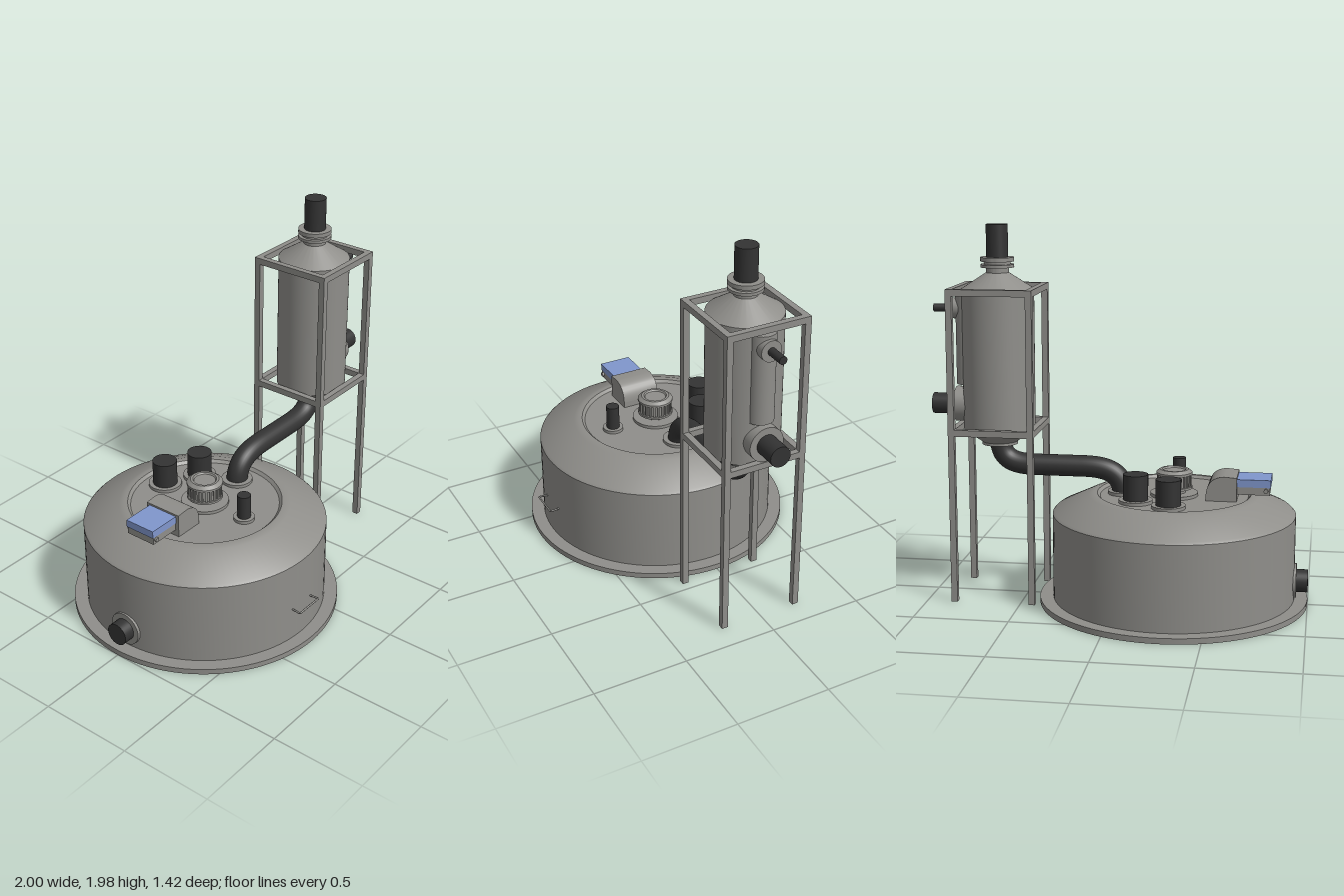
import * as THREE from 'three';
import { toCreasedNormals } from 'three/addons/utils/BufferGeometryUtils.js';

const material = (name, color) => {
  const m = new THREE.MeshStandardMaterial({ color });
  m.name = name;
  return m;
};

export function createModel() {
  const steel = material('grey steel', 0x8f8e8a);
  const rubber = material('dark pipe', 0x333333);
  const blue = material('blue motor', 0x8096cc);
  const model = new THREE.Group();
  const TANK = -0.29, COLUMN = 0.645;

  const add = (parent, name, geometry, mat, x = 0, y = 0, z = 0) => {
    const mesh = new THREE.Mesh(geometry, mat);
    mesh.name = name;
    mesh.position.set(x, y, z);
    parent.add(mesh);
    return mesh;
  };
  const group = (name, x = 0, y = 0, z = 0) => {
    const g = new THREE.Group();
    g.name = name;
    g.position.set(x, y, z);
    model.add(g);
    return g;
  };
  const lathe = (points, segments = 64) => toCreasedNormals(
    new THREE.LatheGeometry(points.map(p => new THREE.Vector2(...p)), segments), 0.6);
  // Upright cylinder between two heights
  const upright = (parent, name, r, y0, y1, mat, x = 0, z = 0) =>
    add(parent, name, new THREE.CylinderGeometry(r, r, y1 - y0, 40), mat, x, (y0 + y1) / 2, z);
  // Cylinder lying along x
  const sideways = (parent, name, r, x0, x1, y, mat) => {
    const mesh = add(parent, name, new THREE.CylinderGeometry(r, r, x1 - x0, 40), mat, (x0 + x1) / 2, y, 0);
    mesh.rotation.z = -Math.PI / 2;
    return mesh;
  };
  const box = (parent, name, x0, x1, y0, y1, z0, z1, mat) =>
    add(parent, name, new THREE.BoxGeometry(x1 - x0, y1 - y0, z1 - z0), mat,
      (x0 + x1) / 2, (y0 + y1) / 2, (z0 + z1) / 2);

  // Tank with base flange, sloping shoulder and recessed lid
  const tank = group('tank', TANK);
  add(tank, 'tankBody', lathe([
    [0, 0], [0.71, 0], [0.71, 0.03], [0.64, 0.03], [0.64, 0.48], [0.628, 0.492],
    [0.45, 0.577], [0.425, 0.585], [0.405, 0.585], [0.39, 0.57], [0, 0.57],
  ], 96), steel);

  // Handle on the front of the tank
  const handlePath = new THREE.CurvePath();
  const hp = [[-0.075, 0.63], [-0.08, 0.685], [0.08, 0.685], [0.075, 0.63]]
    .map(([x, z]) => new THREE.Vector3(x, 0.21, z));
  for (let i = 0; i < 3; i++) handlePath.add(new THREE.LineCurve3(hp[i], hp[i + 1]));
  add(tank, 'handle', new THREE.TubeGeometry(handlePath, 48, 0.005, 8), steel);

  // Outlet low on the tank wall
  const outlet = group('tankOutlet');
  sideways(outlet, 'outletFlange', 0.09, -0.94, -0.9, 0.13, steel);
  sideways(outlet, 'outletPipe', 0.06, -1, -0.9, 0.13, rubber);

  // Pipe stubs standing on the lid
  const stubs = group('lidStubs');
  for (const [x, z, r, flange, top] of [
    [-0.11, -0.185, 0.065, 0.088, 0.72],
    [TANK, -0.275, 0.065, 0.088, 0.72],
    [TANK, 0.26, 0.035, 0.055, 0.715],
  ]) {
    upright(stubs, 'stubFlange', flange, 0.565, 0.587, steel, x, z);
    upright(stubs, 'stubPipe', r, 0.57, top, rubber, x, z);
  }

  // Ribbed vent in the middle of the lid
  const vent = group('vent', TANK);
  add(vent, 'ventBody', lathe([
    [0, 0.565], [0.125, 0.565], [0.125, 0.587], [0.06, 0.587], [0.06, 0.61], [0.095, 0.61],
    [0.095, 0.622], [0.082, 0.622], [0.082, 0.685], [0.095, 0.685], [0.095, 0.697],
    [0.075, 0.712], [0.062, 0.712], [0.056, 0.704], [0, 0.704],
  ], 48), steel);
  for (let i = 0; i < 24; i++) {
    const a = i / 24 * Math.PI * 2;
    const rib = add(vent, 'ventRib', new THREE.BoxGeometry(0.01, 0.066, 0.01), steel,
      Math.cos(a) * 0.085, 0.653, Math.sin(a) * 0.085);
    rib.rotation.y = -a;
  }

  // Motor with its rounded housing
  const motor = group('motor');
  const side = new THREE.Shape();
  side.moveTo(-0.625, 0.6);
  side.lineTo(-0.465, 0.6);
  side.quadraticCurveTo(-0.47, 0.695, -0.56, 0.7);
  side.lineTo(-0.625, 0.695);
  side.closePath();
  const housing = new THREE.ExtrudeGeometry(side, { depth: 0.21, bevelEnabled: false, curveSegments: 14 });
  add(motor, 'motorHousing', toCreasedNormals(housing, 0.6), steel, 0, 0, -0.105);
  box(motor, 'housingFoot', -0.625, -0.465, 0.565, 0.602, -0.105, 0.105, steel);
  box(motor, 'motorTray', -0.795, -0.61, 0.605, 0.645, -0.085, 0.085, steel);
  box(motor, 'motorCover', -0.8, -0.61, 0.645, 0.685, -0.087, 0.087, blue);
  for (const s of [-1, 1]) {
    const bolt = add(motor, 'motorBolt', new THREE.CylinderGeometry(0.012, 0.012, 0.012, 16), steel,
      -0.775, 0.628, s * 0.09);
    bolt.rotation.x = Math.PI / 2;
  }

  // Curved pipe from the lid to the column
  const duct = group('duct');
  upright(duct, 'ductFlange', 0.083, 0.565, 0.587, steel, -0.02);
  const v = (x, y) => new THREE.Vector3(x, y, 0);
  const path = new THREE.CurvePath();
  path.add(new THREE.CubicBezierCurve3(v(-0.02, 0.565), v(-0.015, 0.68), v(0.06, 0.71), v(0.2, 0.71)));
  path.add(new THREE.LineCurve3(v(0.2, 0.71), v(0.45, 0.71)));
  path.add(new THREE.CubicBezierCurve3(v(0.45, 0.71), v(0.57, 0.71), v(0.638, 0.735), v(0.64, 0.835)));
  add(duct, 'ductPipe', new THREE.TubeGeometry(path, 80, 0.057, 28), rubber);

  // Column vessel with cones, neck and collars
  const column = group('column');
  add(column, 'columnVessel', lathe([
    [0, 0.82], [0.095, 0.82], [0.095, 0.835], [0.19, 0.905], [0.19, 1.645],
    [0.06, 1.73], [0.06, 1.757], [0.088, 1.757], [0.088, 1.773], [0.07, 1.773],
    [0.07, 1.788], [0.088, 1.788], [0.088, 1.81], [0, 1.81],
  ]), steel, COLUMN);
  upright(column, 'topPipe', 0.057, 1.8, 1.98, rubber, COLUMN);

  // Side chamber and the two side pipes
  upright(column, 'sideChamber', 0.07, 1.14, 1.61, steel, 0.802);
  sideways(column, 'upperFlange', 0.055, 0.83, 0.89, 1.54, steel);
  sideways(column, 'upperPipe', 0.021, 0.88, 0.99, 1.54, rubber);
  sideways(column, 'lowerFlange', 0.093, 0.8, 0.875, 1.03, steel);
  sideways(column, 'lowerPipe', 0.055, 0.86, 1, 1.03, rubber);

  // Support frame around the column
  const frame = group('frame', COLUMN);
  const out = 0.225, inn = 0.192;
  for (const s of [-1, 1]) {
    const lo = s < 0 ? -out : inn, hi = s < 0 ? -inn : out;
    for (const t of [-1, 1]) {
      box(frame, 'framePost', lo, hi, 0, 1.66, t < 0 ? -out : inn, t < 0 ? -inn : out, steel);
    }
    for (const y of [0.895, 1.626]) {
      box(frame, 'frameSideBar', lo, hi, y, y + 0.034, -inn, inn, steel);
      box(frame, 'frameCrossBar', -inn, inn, y, y + 0.034, lo, hi, steel);
    }
  }
  return model;
}
